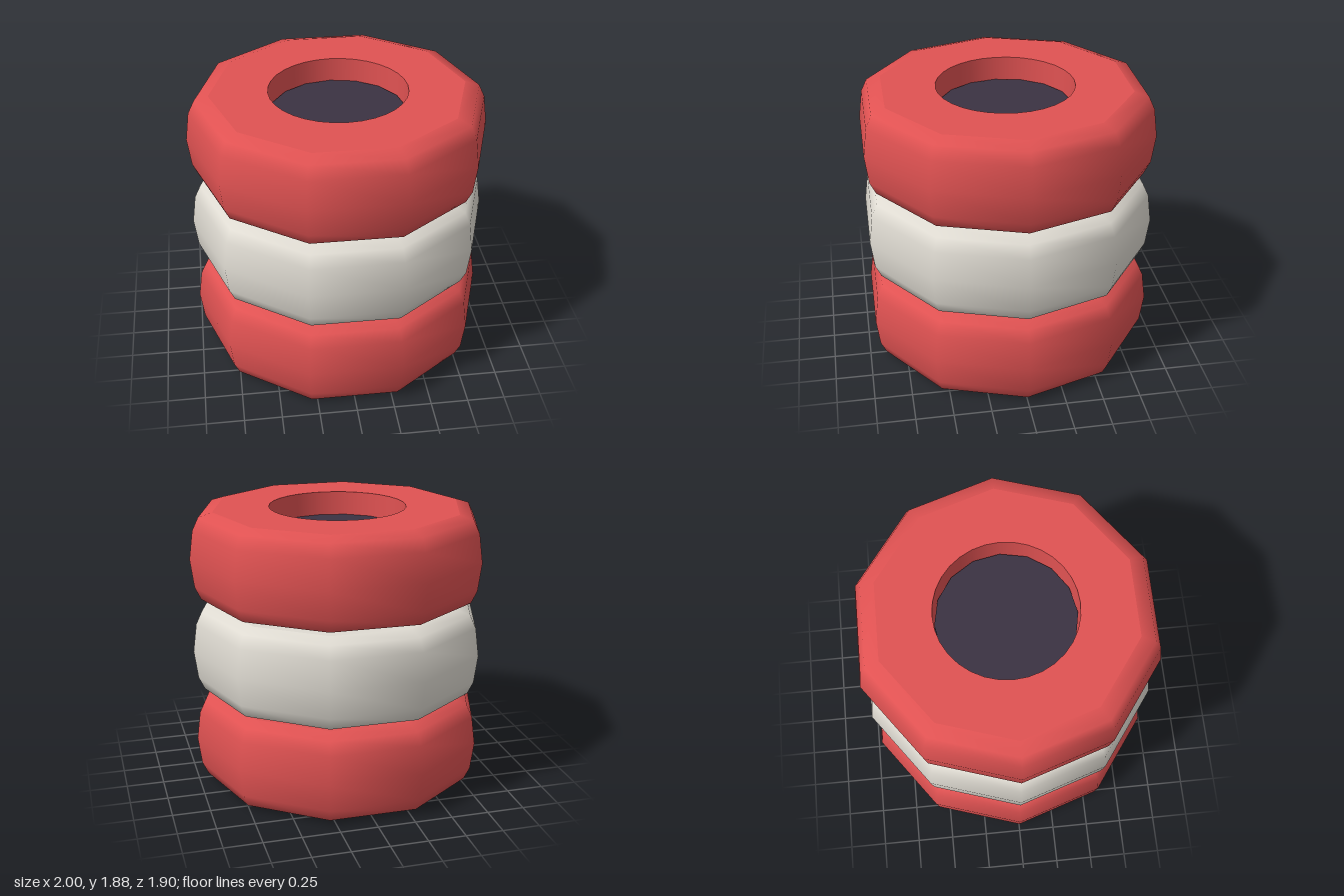
import * as THREE from 'three';

const HOLE = 0.457, HEIGHT = 0.61, STEP = 0.635;

const red = new THREE.MeshStandardMaterial({ color: 0xe05252 });
red.name = 'red rubber';
const white = new THREE.MeshStandardMaterial({ color: 0xdfdbd2 });
white.name = 'off-white rubber';
const dark = new THREE.MeshStandardMaterial({ color: 0x3b3242 });
dark.name = 'dark core';

// Regular polygon outline with a corner on the +x axis
function ring(radius, sides) {
  return Array.from({ length: sides }, (_, i) => {
    const a = (i / sides) * Math.PI * 2;
    return new THREE.Vector2(radius * Math.cos(a), radius * Math.sin(a));
  });
}

function lathe(points, sides) {
  return new THREE.LatheGeometry(points.map(p => new THREE.Vector2(...p)), sides, Math.PI / 2);
}

function createTire(name, material, y) {
  const tire = new THREE.Group();
  tire.name = name;
  tire.position.y = y;
  const add = (part, geometry, height = 0) => {
    const mesh = new THREE.Mesh(geometry, material);
    mesh.name = part;
    mesh.position.y = height;
    tire.add(mesh);
  };

  // Ten-sided bulging tread
  add('tread', lathe([
    [0.84, 0], [0.935, 0.03], [0.975, 0.115], [1, 0.305],
    [0.975, 0.495], [0.935, 0.58], [0.84, HEIGHT],
  ], 10));

  // Flat sidewalls with a round hole
  const side = new THREE.Shape(ring(0.84, 10));
  side.holes.push(new THREE.Path(ring(HOLE, 32).reverse()));
  add('topSidewall', new THREE.ShapeGeometry(side).rotateX(-Math.PI / 2), HEIGHT);
  add('bottomSidewall', new THREE.ShapeGeometry(side).rotateX(Math.PI / 2));

  // Inward-facing hole wall
  add('holeWall', lathe([[HOLE, HEIGHT], [HOLE, 0]], 32));
  return tire;
}

export function createModel() {
  const model = new THREE.Group();
  model.name = 'tireStack';

  [['bottomTire', red], ['middleTire', white], ['topTire', red]].forEach(([name, material], i) => {
    model.add(createTire(name, material, i * STEP));
  });

  // Core running through the tires, recessed at the top
  const coreTop = 1.72;
  const core = new THREE.Mesh(new THREE.CylinderGeometry(0.453, 0.453, coreTop, 16), dark);
  core.name = 'core';
  core.position.y = coreTop / 2;
  model.add(core);
  return model;
}
